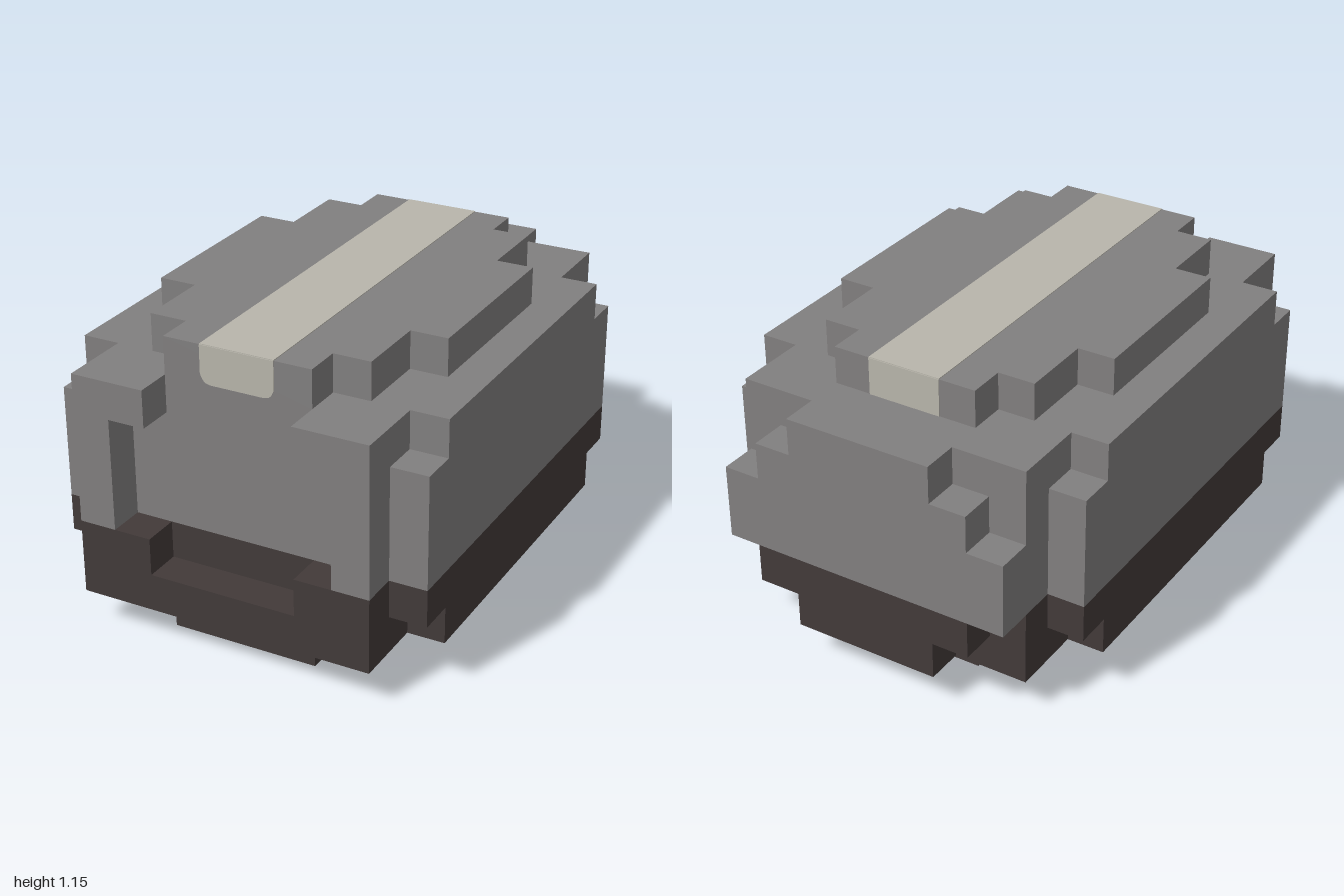
import * as THREE from 'three';

const U = 1 / 7; // one block

const mat = (name, color) => new THREE.MeshStandardMaterial({ name, color });

export function createModel() {
  const stone = mat('grey', 0x817f7f);
  const dark = mat('darkBrown', 0x423a39);
  const cream = mat('paleStripe', 0xb8b5ab);

  // All parts are laid out in whole blocks, then scaled down
  const blocks = new THREE.Group();
  blocks.name = 'blocks';
  blocks.scale.setScalar(U);

  const add = (name, geometry, material, x, y, z) => {
    const mesh = new THREE.Mesh(geometry, material);
    mesh.name = name;
    mesh.position.set(x, y, z);
    blocks.add(mesh);
    return mesh;
  };
  const plate = (points, depth = 1) => new THREE.ExtrudeGeometry(
    new THREE.Shape(points.map(([a, b]) => new THREE.Vector2(a, b))),
    { depth, bevelEnabled: false });
  // Completes an outline whose right half is given
  const mirrored = (half) => [...half, ...half.map(([a, b]) => [-a, b]).reverse()];

  // Core
  add('upperCore', new THREE.BoxGeometry(8, 4, 12), stone, 0, 5, 0);
  add('lowerCore', new THREE.BoxGeometry(8, 2, 12), dark, 0, 2, 0);

  // Stepped lid and base
  const slab = plate(mirrored([
    [2, -5], [2, -4], [3, -4], [3, -2], [4, -2],
    [4, 3], [3, 3], [3, 5], [2, 5], [2, 6],
  ])).rotateX(Math.PI / 2);
  add('lid', slab, stone, 0, 8, 0);
  add('base', slab, dark, 0, 1, 0);

  // Side panels, outlined in (z, y)
  const sideUpper = plate([[-5, 3], [6, 3], [6, 6], [5, 6], [5, 7], [-4, 7], [-4, 6], [-5, 6]])
    .rotateY(-Math.PI / 2);
  const sideLower = plate([[-5, 3], [-5, 2], [-4, 2], [-4, 1], [5, 1], [5, 2], [6, 2], [6, 3]])
    .rotateY(-Math.PI / 2);
  for (const [side, x] of [['left', 5], ['right', -4]]) {
    add(side + 'UpperPanel', sideUpper, stone, x, 0, 0);
    add(side + 'LowerPanel', sideLower, dark, x, 0, 0);
  }

  // Front frame around the recess
  const post = [[4, 3], [4, 7], [2, 7], [2, 6], [3, 6], [3, 3]];
  add('leftFrontPost', plate(post), stone, 0, 0, 6);
  add('rightFrontPost', plate(post.map(([a, b]) => [-a, b])), stone, 0, 0, 6);
  add('frontSill', plate(mirrored([[4, 1], [4, 3], [2, 3], [2, 2]])), dark, 0, 0, 6);

  // Back panel
  add('backUpperPanel', plate(mirrored([[4, 3], [4, 5], [3, 5], [3, 6], [2, 6], [2, 7]])),
    stone, 0, 0, -7);
  add('backLowerPanel', plate(mirrored([[2, 1], [2, 2], [3, 2], [3, 3]])), dark, 0, 0, -7);

  // Pale stripe over the lid and down both ends
  const t = 0.02;
  add('topStripe', new THREE.BoxGeometry(2, t, 11), cream, 0, 8 + t / 2, 0.5);
  add('frontStripe', plate(mirrored([
    [1, 8], [1, 7.25], [0.93, 7.1], [0.85, 7.03], [0.72, 7],
  ]), t), cream, 0, 0, 6);
  add('backStripe', new THREE.BoxGeometry(2, 1, t), cream, 0, 7.5, -5 - t / 2);

  const model = new THREE.Group();
  model.name = 'steppedBlock';
  model.add(blocks);
  return model;
}
